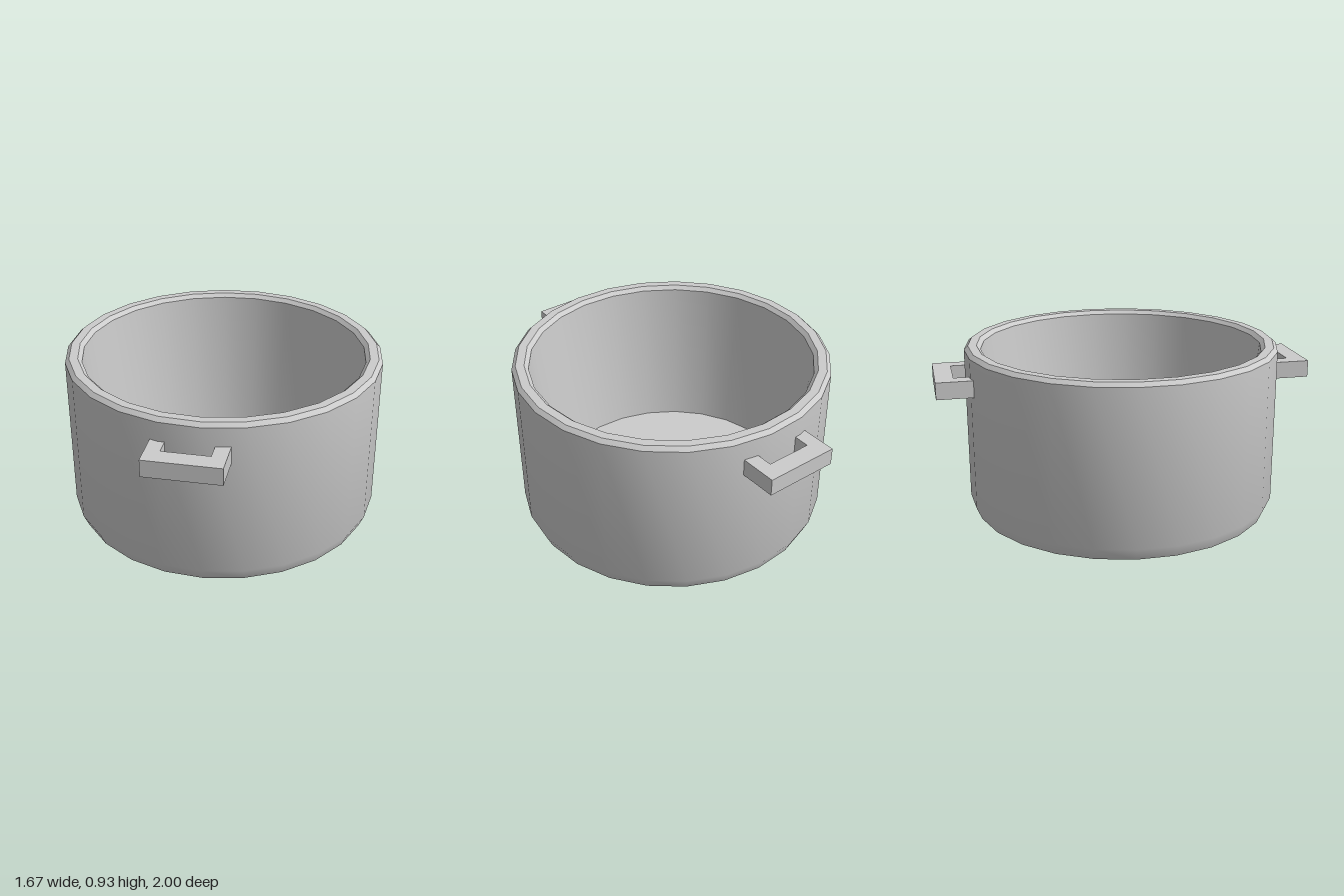
import * as THREE from 'three';
import { toCreasedNormals } from 'three/addons/utils/BufferGeometryUtils.js';

export function createModel() {
  const group = new THREE.Group();
  const material = new THREE.MeshStandardMaterial({ color: 0xcccccc });

  // Pot body: closed profile from underside centre, over the rim, down the tapered inside to the floor
  const profile = [
    [0, 0], [0.73, 0], [0.75, 0], [0.808, 0.025], [0.836, 0.09], [0.836, 0.91], [0.815, 0.93],
    [0.77, 0.93], [0.749, 0.91], [0.672, 0.09], [0, 0.09],
  ].map(([r, y]) => new THREE.Vector2(r, y));
  const bodyGeometry = new THREE.LatheGeometry(profile, 25, Math.PI / 2);
  const body = new THREE.Mesh(toCreasedNormals(bodyGeometry, Math.PI / 6), material);
  body.name = 'potBody';
  body.position.x = -0.004;
  group.add(body);

  // Square U-shaped handle, laid flat and reaching into the wall
  const outline = [
    [-0.195, 0.79], [-0.12, 0.79], [-0.12, 0.905], [0.12, 0.905],
    [0.12, 0.79], [0.195, 0.79], [0.195, 1], [-0.195, 1],
  ].map(([x, y]) => new THREE.Vector2(x, y));
  const handleGeometry = new THREE.ExtrudeGeometry(new THREE.Shape(outline), {
    depth: 0.09, bevelEnabled: false,
  });
  handleGeometry.rotateX(-Math.PI / 2);

  // One handle at the back, one turned to the front
  for (const [name, angle] of [['backHandle', 0], ['frontHandle', Math.PI]]) {
    const handle = new THREE.Mesh(handleGeometry, material);
    handle.name = name;
    handle.position.set(-0.005, 0.718, 0);
    handle.rotation.y = angle;
    group.add(handle);
  }
  return group;
}
